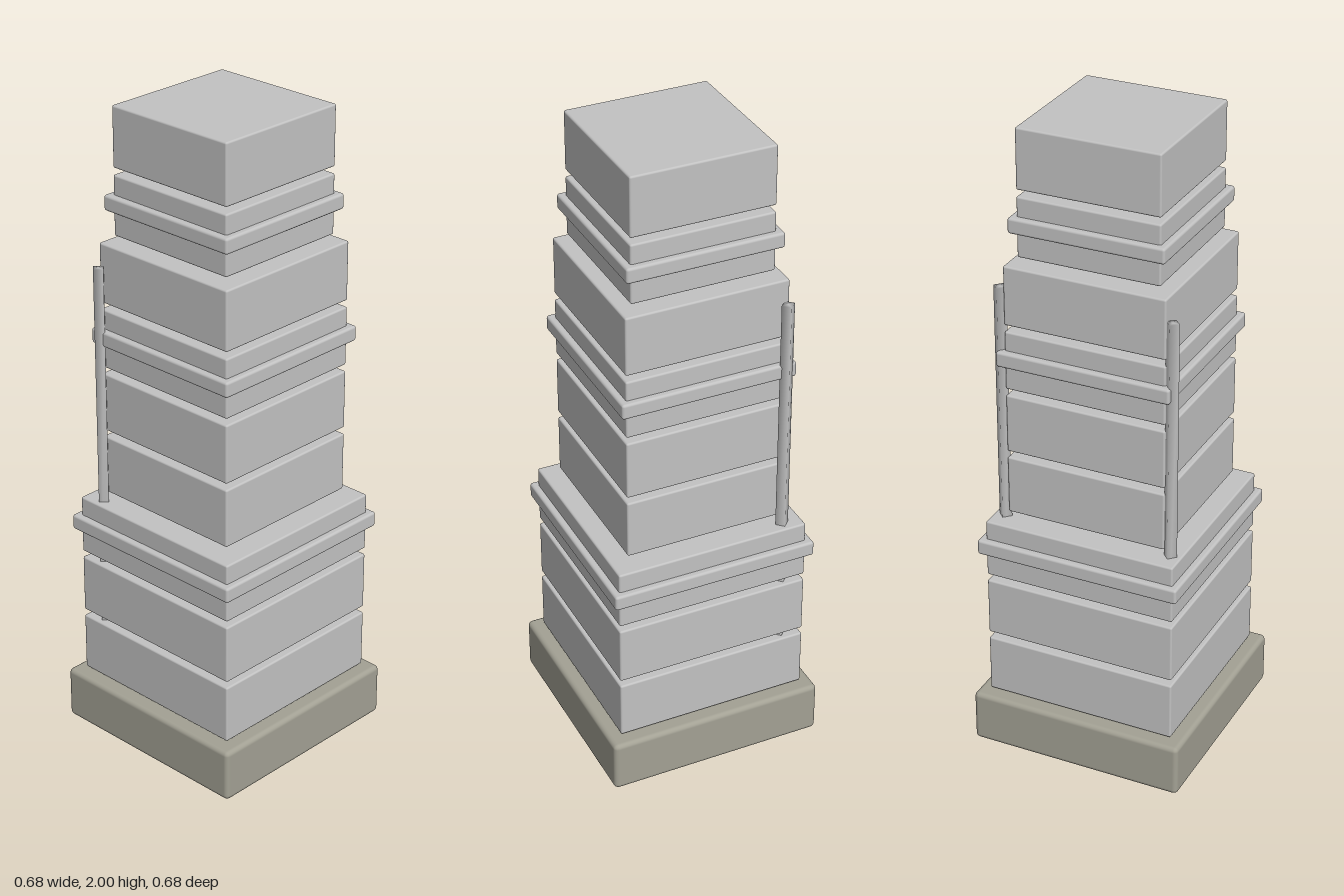
import * as THREE from 'three';
import { RoundedBoxGeometry } from 'three/addons/geometries/RoundedBoxGeometry.js';
import { mergeVertices } from 'three/addons/utils/BufferGeometryUtils.js';

export function createModel() {
  const model = new THREE.Group();
  model.name = 'steppedTower';

  const stone = new THREE.MeshStandardMaterial({ color: 0xc2c2c2 });
  stone.name = 'light grey stone';
  const plinth = new THREE.MeshStandardMaterial({ color: 0xa3a194 });
  plinth.name = 'warm grey plinth';

  // Square slab with softened edges, given by half width and y range
  function slab(name, half, y0, y1, bevel, material) {
    const geometry = new RoundedBoxGeometry(half * 2, y1 - y0, half * 2, 2, bevel);
    const mesh = new THREE.Mesh(geometry, material);
    mesh.name = name;
    mesh.position.y = (y0 + y1) / 2;
    model.add(mesh);
  }

  slab('base', 0.342, 0, 0.167, 0.015, plinth);

  // Nine separate storeys with open gaps, in three widths
  const halves = [0.303, 0.303, 0.303, 0.252, 0.252, 0.252, 0.252, 0.221, 0.221];
  halves.forEach((half, i) => {
    const y = 0.175 + i * 0.205;
    slab('storey' + (i + 1), half, y, y + 0.185, 0.006, stone);
  });

  // Projecting bands around the third, sixth and eighth storeys
  [[0.323, 0.662, 0.71], [0.272, 1.277, 1.325], [0.241, 1.687, 1.735]].forEach(([half, y0, y1], i) =>
    slab('band' + (i + 1), half, y0, y1, 0.008, stone));

  // Four-sided pipes at the back corners, with soft shading
  const pipe = new THREE.CylinderGeometry(0.021, 0.021, 1.2, 4);
  pipe.deleteAttribute('uv');
  pipe.deleteAttribute('normal');
  const softPipe = mergeVertices(pipe);
  softPipe.computeVertexNormals();
  for (const side of [-1, 1]) {
    const mesh = new THREE.Mesh(softPipe, stone);
    mesh.name = side > 0 ? 'leftPipe' : 'rightPipe';
    mesh.position.set(side * 0.268, 0.92, -0.24);
    model.add(mesh);
  }

  return model;
}
